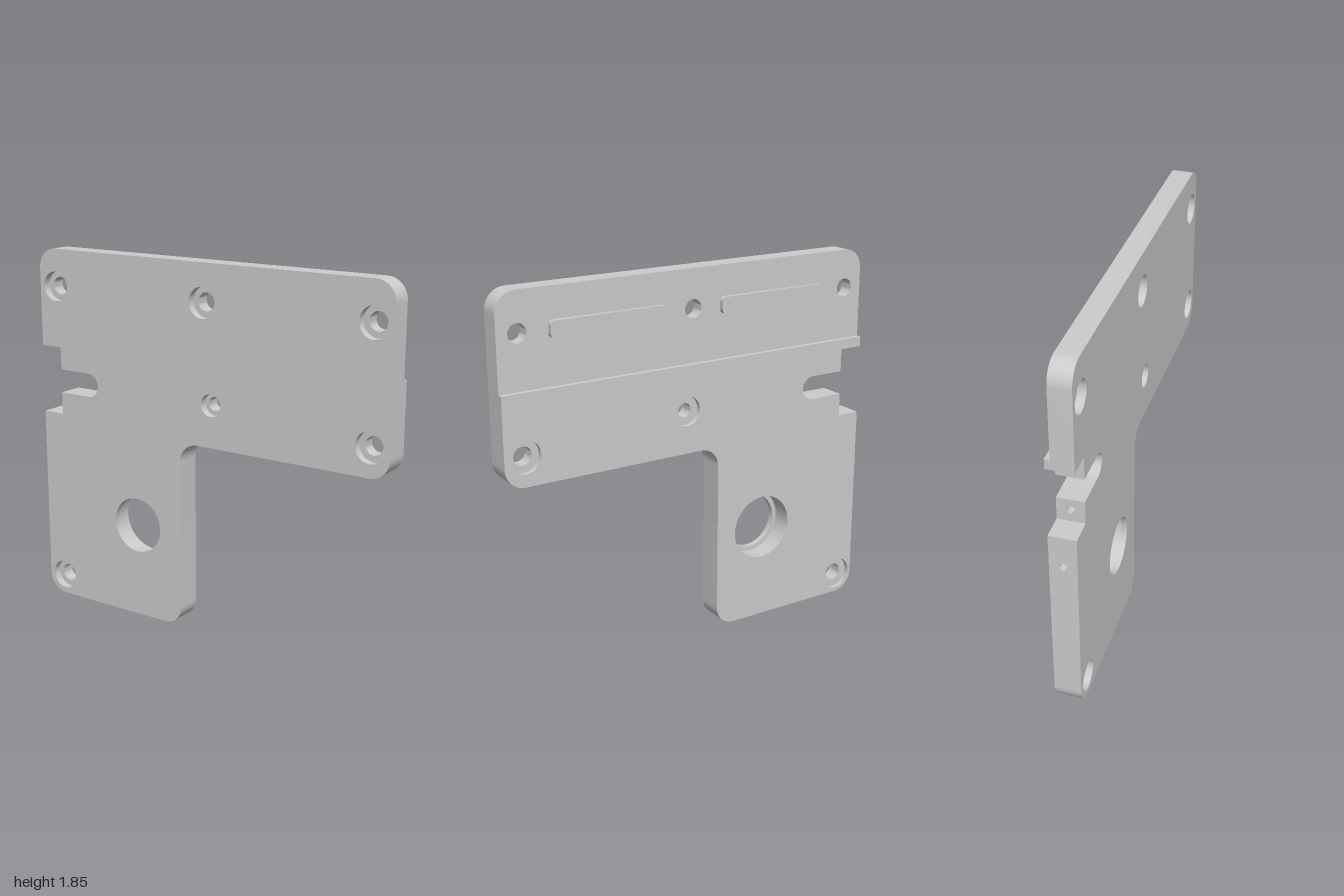
import * as THREE from 'three';
import { toCreasedNormals } from 'three/addons/utils/BufferGeometryUtils.js';

const FRONT = 0.065, BACK = -0.065, STEP_Z = -0.04, STEP_Y = 1.4;
const SEG = 32;

export function createModel() {
  const model = new THREE.Group();
  const material = new THREE.MeshStandardMaterial({ color: 0xcccccc });
  const add = (name, geometry, parent = model) => {
    const mesh = new THREE.Mesh(geometry, material);
    mesh.name = name;
    parent.add(mesh);
    return mesh;
  };
  const path = (x, y) => new THREE.Path().moveTo(x, y);
  const rect = (x0, y0, x1, y1) => new THREE.Shape(
    [[x0, y0], [x1, y0], [x1, y1], [x0, y1]].map(p => new THREE.Vector2(...p)));
  const punch = (shape, x, y, r) =>
    shape.holes.push(new THREE.Path().absarc(x, y, r, 0, Math.PI * 2));

  // Strip of wall along a clockwise run of points
  const wall = (points, zf, zb) => {
    const pos = [];
    for (let i = 0; i + 1 < points.length; i++) {
      const a = points[i], b = points[i + 1];
      if (a.distanceTo(b) < 1e-6) continue;
      pos.push(a.x, a.y, zf, b.x, b.y, zf, b.x, b.y, zb,
        a.x, a.y, zf, b.x, b.y, zb, a.x, a.y, zb);
    }
    const g = new THREE.BufferGeometry();
    g.setAttribute('position', new THREE.Float32BufferAttribute(pos, 3));
    g.computeVertexNormals();
    return toCreasedNormals(g, 0.6);
  };

  // Flat face at depth z, facing forward or backward
  const face = (shape, z, backward) => {
    const g = new THREE.ShapeGeometry(shape, SEG);
    if (backward) {
      g.index.array.reverse();
      g.computeVertexNormals();
    }
    return g.translate(0, 0, z);
  };

  // Stepped bore along z; profile of [radius, z] from front to back
  const bore = profile => toCreasedNormals(new THREE.LatheGeometry(
    profile.map(p => new THREE.Vector2(...p)), SEG).rotateX(Math.PI / 2), 0.6);

  // Outline runs, clockwise from the right-hand end of the step
  const H = Math.PI / 2;
  const lowerRun = path(1, STEP_Y).lineTo(1, 1.065)
    .absarc(0.9, 1.065, 0.1, 0, -H, true)
    .absarc(-0.03, 0.865, 0.1, H, Math.PI, false)
    .absarc(-0.23, 0.1, 0.1, 0, -H, true)
    .absarc(-0.9, 0.1, 0.1, -H, -Math.PI, true).getPoints(SEG / 2);
  const notchBottom = path(-1, 1).lineTo(-0.88, 1).getPoints();
  const slot = path(-0.88, 1.115).lineTo(-0.7, 1.115)
    .absarc(-0.7, 1.175, 0.06, -H, H, false)
    .lineTo(-0.88, 1.235).getPoints(SEG / 2);
  const notchTop = path(-0.88, 1.35).lineTo(-1, 1.35).lineTo(-1, STEP_Y).getPoints();
  const upperRun = path(-1, STEP_Y).lineTo(-1, 1.75)
    .absarc(-0.9, 1.75, 0.1, Math.PI, H, true)
    .absarc(0.9, 1.75, 0.1, H, 0, true)
    .lineTo(1, STEP_Y).getPoints(SEG / 2);

  const lowerOutline = [...lowerRun, ...notchBottom, ...slot, ...notchTop];
  const frontShape = new THREE.Shape([...lowerOutline, ...upperRun.slice(1, -1)]);
  const lowerShape = new THREE.Shape(lowerOutline);
  const upperShape = new THREE.Shape(upperRun);

  // Screw holes and the large opening
  const holes = [
    ...[-0.9, 0, 0.9].map(x => ({ x, y: 1.66, front: 0.075, r: 0.045, upper: true })),
    { x: 0.9, y: 1.105, front: 0.075, r: 0.045, back: 0.08 },
    { x: -0.9, y: 0.105, front: 0.075, r: 0.045, back: 0.085 },
    { x: 0.05, y: 1.175, front: 0.056, r: 0.035, back: 0.073 },
  ];
  for (const h of holes) {
    const profile = [[h.front, FRONT], [h.front, 0.025], [h.r, 0.025], [h.r, STEP_Z]];
    if (!h.upper) profile.push([h.back, STEP_Z], [h.back, BACK]);
    punch(frontShape, h.x, h.y, h.front);
    punch(h.upper ? upperShape : lowerShape, h.x, h.y, h.upper ? h.r : h.back);
    add('screwHole', bore(profile)).position.set(h.x, h.y, 0);
  }
  punch(frontShape, -0.4, 0.485, 0.142);
  punch(lowerShape, -0.4, 0.485, 0.165);
  add('largeOpening', bore([[0.142, FRONT], [0.142, 0.035], [0.165, 0.035], [0.165, BACK]]))
    .position.set(-0.4, 0.485, 0);

  // Plate faces and edges
  const plate = new THREE.Group();
  plate.name = 'plate';
  model.add(plate);
  add('frontFace', face(frontShape, FRONT), plate);
  add('lowerBackFace', face(lowerShape, BACK, true), plate);
  add('upperBackFace', face(upperShape, STEP_Z, true), plate);
  add('upperEdge', wall(upperRun, FRONT, STEP_Z), plate);
  add('backStep', wall(path(-1, STEP_Y).lineTo(1, STEP_Y).getPoints(), STEP_Z, BACK), plate);
  for (const [name, run] of Object.entries({ lowerEdge: lowerRun, notchBottom, slot, notchTop }))
    add(name, wall(run, FRONT, BACK), plate);

  // Side edge panels with small blind holes
  for (const [x, y0, y1, holeY] of [[-1, 0.1, 1, 0.84], [-0.88, 1, 1.115, 1.06], [-0.88, 1.235, 1.35, 1.29]]) {
    const panel = rect(BACK, y0, FRONT, y1);
    punch(panel, 0, holeY, 0.02);
    add('sidePanel', face(panel, 0).rotateY(-H), plate).position.x = x;
    add('sideHole', bore([[0.02, 0], [0.02, -0.15], [0, -0.15]]).rotateY(-H))
      .position.set(x, holeY, 0);
  }

  // Raised bars on the upper back
  const bar = new THREE.Shape();
  const w = 0.3, h = 0.04, r = 0.02;
  bar.absarc(w - r, h - r, r, 0, H);
  bar.absarc(-w + r, h - r, r, H, 2 * H);
  bar.absarc(-w + r, -h + r, r, 2 * H, 3 * H);
  bar.absarc(w - r, -h + r, r, 3 * H, 4 * H);
  const barGeometry = toCreasedNormals(new THREE.ExtrudeGeometry(bar,
    { depth: STEP_Z - BACK, bevelEnabled: false, curveSegments: 6 }), 0.6);
  for (const x of [-0.45, 0.45]) add('raisedBar', barGeometry).position.set(x, 1.66, BACK);

  return model;
}
